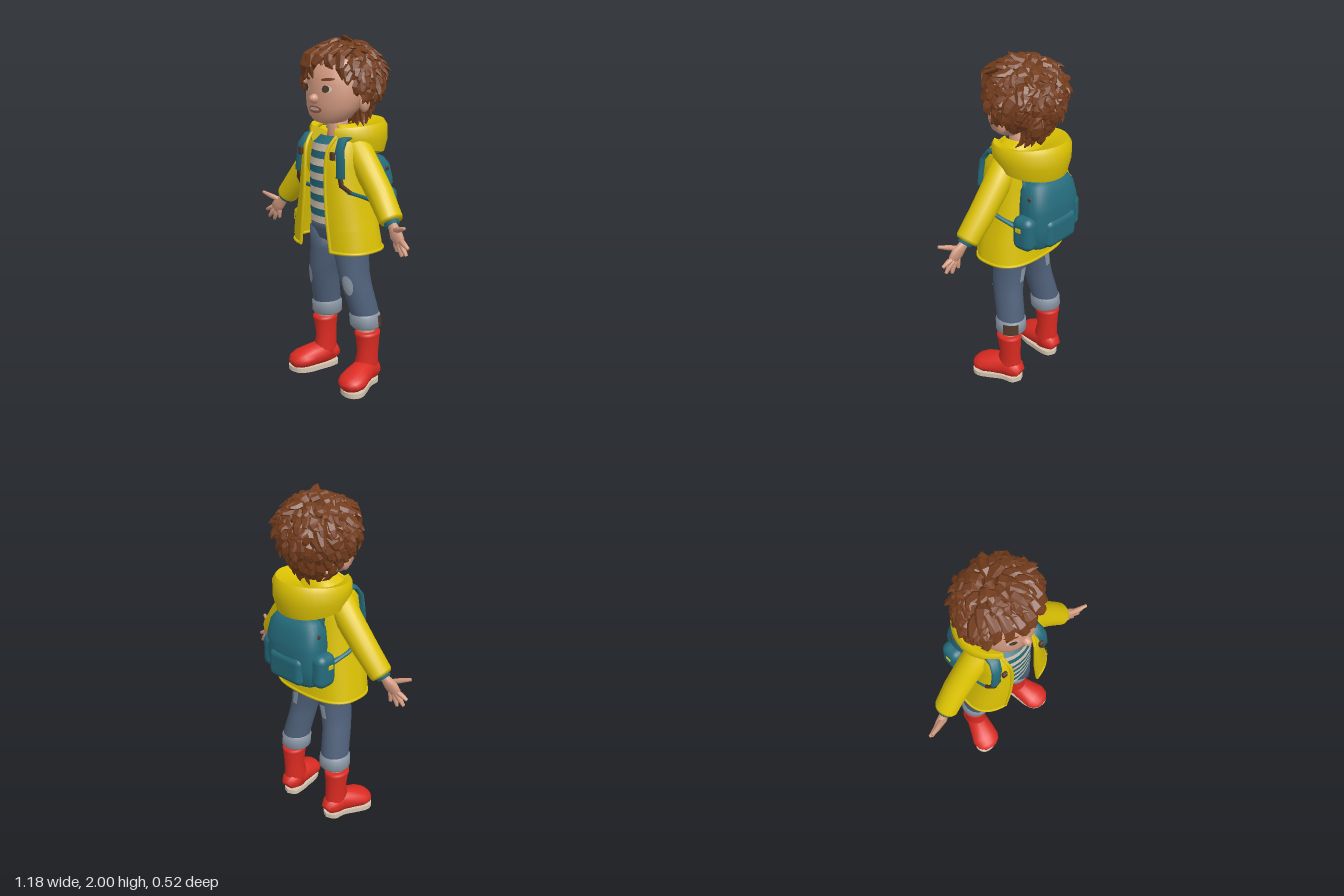
import * as THREE from 'three';
import { mergeGeometries, toCreasedNormals } from 'three/addons/utils/BufferGeometryUtils.js';
import { RoundedBoxGeometry } from 'three/addons/geometries/RoundedBoxGeometry.js';

const V = (x, y, z) => new THREE.Vector3(x, y, z), TAU = Math.PI * 2;
const paint = (name, color, side = THREE.FrontSide) => Object.assign(new THREE.MeshStandardMaterial({ color, side }), { name });

// Skin a list of equal-length rings; rings may be open strips.
function loft(rings, closed = true, caps = closed) {
  const n = rings[0].length, pts = rings.flat(), idx = [], last = rings.length - 1;
  for (let j = 0; j < last; j++) for (let i = 0; i < (closed ? n : n - 1); i++) {
    const a = j * n + i, b = j * n + (i + 1) % n;
    idx.push(a, b, b + n, a, b + n, a + n);
  }
  if (caps) for (const end of [0, last]) {
    const c = pts.length;
    pts.push(rings[end].reduce((s, p) => s.add(p), V(0, 0, 0)).divideScalar(n));
    for (let i = 0; i < n; i++) {
      const a = end * n + i, b = end * n + (i + 1) % n;
      idx.push(...(end ? [a, b, c] : [b, a, c]));
    }
  }
  const g = new THREE.BufferGeometry().setFromPoints(pts).setIndex(idx);
  g.computeVertexNormals();
  return g;
}
// Body tables hold rows of [y, half width, front z, back z, centre x].
function sample(t, y) {
  let i = 0;
  while (i < t.length - 2 && y > t[i + 1][0]) i++;
  const k = (y - t[i][0]) / (t[i + 1][0] - t[i][0]);
  return [0, 1, 2, 3, 4].map(c => THREE.MathUtils.lerp(t[i][c] ?? 0, t[i + 1][c] ?? 0, k));
}
const spow = (v, e) => Math.sign(v) * Math.abs(v) ** e;
function ring(t, y, { e = 1, a0 = 0, a1 = TAU, n = 24, off = 0 } = {}) {
  const [, rx, zf, zb, xc] = sample(t, y), steps = a1 - a0 > 6.28 ? n : n - 1;
  return Array.from({ length: n }, (_, i) => {
    const a = a0 + (a1 - a0) * i / steps;
    return V(xc + (rx + off) * spow(Math.sin(a), e), y, (zf + zb) / 2 + ((zf - zb) / 2 + off) * spow(Math.cos(a), e));
  });
}
const body = (t, o) => loft(t.map(r => ring(t, r[0], o)));
const patch = (t, ys, o) => loft(ys.map(y => ring(t, y, { n: 9, ...o })), false);
function frontZ(t, x, y, e = 1) {
  const [, rx, zf, zb, xc] = sample(t, y), u = Math.min(1, Math.abs((x - xc) / rx)) ** (2 / e);
  return (zf + zb) / 2 + (zf - zb) / 2 * (1 - u) ** (e / 2);
}
// Thin painted ellipse laid on the front of a body table.
function decal(t, cx, cy, w, h, off = 0.004, tilt = 0) {
  const g = new THREE.RingGeometry(0, 1, 20, 3).scale(w, h, 1).rotateZ(tilt).translate(cx, cy, 0), p = g.attributes.position;
  for (let i = 0; i < p.count; i++) p.setZ(i, frontZ(t, p.getX(i), p.getY(i)) + off);
  g.computeVertexNormals();
  return g;
}
// Tapered tube through [x, y, z, a, b]; b is measured along ref.
function limb(rows, ref = V(0, 0, 1), n = 12) {
  const c = rows.map(r => V(r[0], r[1], r[2]));
  return loft(rows.map(([, , , a, b], i) => {
    const T = c[Math.min(i + 1, c.length - 1)].clone().sub(c[Math.max(i - 1, 0)]).normalize();
    const B = ref.clone().addScaledVector(T, -ref.dot(T)).normalize(), A = B.clone().cross(T);
    return Array.from({ length: n }, (_, k) =>
      c[i].clone().addScaledVector(A, a * Math.cos(k / n * TAU)).addScaledVector(B, b * Math.sin(k / n * TAU)));
  }));
}
const flip = (rows, s) => rows.map(([x, ...r]) => [x * s, ...r]);
const flipBody = (t, s) => t.map(([y, w, f, b, x]) => [y, w, f, b, x * s]);

const HEAD = [[1.53, .05, .17, .07], [1.54, .09, .195, .03], [1.57, .13, .213, 0], [1.62, .162, .223, -.06], [1.68, .177, .224, -.1],
  [1.74, .176, .22, -.12], [1.8, .168, .212, -.13], [1.86, .145, .18, -.12], [1.91, .09, .11, -.08], [1.93, .02, .03, -.02]];
const JACKET = [[.835, .28, .235, -.125], [.98, .255, .237, -.11], [1.15, .215, .235, -.1], [1.3, .2, .23, -.09],
  [1.4, .19, .217, -.085], [1.46, .16, .18, -.07], [1.5, .12, .14, -.05], [1.52, .075, .125, -.02]];
const OPENING = [.125, .105, .088, .083, .088, .1, .09, .062];
const SHIRT = [[.93, .175, .19, -.08], [1.3, .165, .2, -.07], [1.42, .14, .185, -.05], [1.47, .085, .13, -.01]];
const PACK = [[.93, .11, -.09, -.18], [.945, .15, -.07, -.21], [.98, .178, -.055, -.238], [1.07, .188, -.047, -.25], [1.2, .183, -.042, -.246],
  [1.28, .168, -.042, -.228], [1.32, .14, -.055, -.2], [1.338, .09, -.08, -.165]];
const LEG = [[.37, .078, .07, -.09, .163], [.45, .08, .085, -.088, .16], [.6, .074, .13, -.06, .138], [.68, .08, .145, -.055, .122],
  [.8, .094, .15, -.06, .1], [.92, .1, .155, -.07, .095]];
const CUFF = [[.352, .082, .072, -.09, .165], [.365, .091, .082, -.1, .165], [.425, .088, .088, -.097, .162], [.442, .078, .08, -.085, .16]];
const SHAFT = [[.05, .062, .06, -.08, .178], [.12, .06, .075, -.08, .178], [.2, .058, .052, -.078, .18], [.3, .066, .066, -.083, .182],
  [.308, .07, .071, -.086, .182], [.324, .07, .071, -.086, .182], [.328, .058, .06, -.075, .182]];

// Curly hair: tousled tapered locks flowing away from the crown.
function hairLocks() {
  let seed = 23;
  const rnd = (a, b) => a + (b - a) * ((seed = (seed * 16807) % 2147483647) / 2147483647);
  const crown = V(0, .96, -.28), locks = [], count = 290;
  for (let i = 0; i < count; i++) {
    const y = 1 - 2 * (i + rnd(0, 1)) / count, q = i * 2.39996 + rnd(-.15, .15), r = Math.sqrt(1 - y * y);
    const n = V(r * Math.sin(q), y, r * Math.cos(q)), P = V(n.x * .2, 1.775 + n.y * .168, .01 + n.z * .182);
    if (P.y < 1.61 || (P.z > -.03 && P.y < 1.71)) continue;
    if (P.z > .06 && P.y < 1.88 && !(Math.abs(P.x) > .14 && P.z < .12 && P.y > 1.76)) continue;
    const t = n.clone().multiplyScalar(n.dot(crown)).sub(crown).normalize();
    const turn = rnd(-1.2, 1.2), side = n.clone().cross(t).normalize();
    t.addScaledVector(side, turn).normalize();
    if (P.z < 0 && P.y < 1.68) t.set(t.x * .4, -1, t.z * .4).normalize();
    const L = rnd(.08, .13), w = rnd(.024, .042), curl = rnd(0, .055);
    const at = (along, out, sw, a, b) => [...P.clone().addScaledVector(t, along * L).addScaledVector(n, out).addScaledVector(side, sw * turn), a, b];
    locks.push(limb([at(-.2, -.015, 0, w * .6, .012), at(.15, .02, 0, w, .02), at(.5, .026, -.015, w * .9, .017),
      at(.8, .018 + curl * .5, -.045, w * .5, .01), at(1, curl, -.08, .003, .002)], n, 6));
  }
  // Fringe locks swept over the forehead
  for (const [x, d, tip] of [[-.13, -.03, 1.76], [-.085, -.03, 1.79], [-.035, .03, 1.775], [.03, -.03, 1.82], [.08, .05, 1.83], [.13, .03, 1.77]]) {
    const z = .225 - x * x * 4;
    locks.push(limb([[x, 1.93, z - .08, .02, .015], [x, 1.89, z, .038, .02], [x + d * .5, (1.89 + tip) / 2, z + .018, .028, .016], [x + d, tip, z + .01, .004, .003]], V(0, .3, 1), 6));
  }
  const g = mergeGeometries(locks).toNonIndexed();
  g.computeVertexNormals();
  return g;
}

export function createModel() {
  const model = new THREE.Group();
  const M = {
    skin: paint('skin', 0xd39a80), hair: paint('hair brown', 0x743d1d), yellow: paint('raincoat yellow', 0xdcc203, THREE.DoubleSide),
    teal: paint('teal', 0x256b7b), denim: paint('denim', 0x50617a), faded: paint('faded denim', 0x8b97a6), red: paint('boot red', 0xdb2b22),
    cream: paint('cream', 0xd5c5b0), dark: paint('dark leather', 0x523729), lip: paint('lip', 0xa45c4c)
  };
  const add = (name, geo, mat, x = 0, y = 0, z = 0) => {
    const m = new THREE.Mesh(geo, mat);
    m.name = name;
    m.position.set(x, y, z);
    model.add(m);
  };
  const ball = (rx, ry, rz) => new THREE.SphereGeometry(1, 18, 12).scale(rx, ry, rz);
  const box = (w, h, d, r) => new RoundedBoxGeometry(w, h, d, 4, r);
  const tube = (pts, n, r) => new THREE.TubeGeometry(new THREE.CatmullRomCurve3(pts), n, r, 6);

  // Head and face
  add('head', body(HEAD), M.skin);
  add('neck', body([[1.4, .075, .13, -.02], [1.47, .058, .11, 0], [1.58, .06, .12, 0]]), M.skin);
  add('nose', ball(.026, .027, .038), M.skin, 0, 1.667, .22);
  add('lips', decal(HEAD, 0, 1.61, .05, .02), M.lip);
  add('teeth', decal(HEAD, 0, 1.613, .038, .009, .007), M.cream);
  add('hairCap', ball(.19, .165, .175), M.hair, 0, 1.772, .005);
  add('hairLocks', hairLocks(), M.hair);

  // Striped shirt and hips
  for (let i = 0, h = .49 / 12; i < 12; i++)
    add('shirtStripe', loft([0, 1].map(k => ring(SHIRT, .97 + (i + k) * h)), true, false), i % 2 ? M.teal : M.cream);
  add('hips', body([[.845, .07, .11, -.04], [.87, .188, .15, -.075], [.93, .194, .172, -.085], [.985, .172, .186, -.08]]), M.denim);

  // Open raincoat
  const E = .75, edgeAngle = i => Math.asin((OPENING[i] / JACKET[i][1]) ** (1 / E));
  const coat = JACKET.map((r, i) => ring(JACKET, r[0], { e: E, a0: edgeAngle(i), a1: TAU - edgeAngle(i), n: 37 }));
  add('coatBody', loft(coat, false), M.yellow);
  add('coatHem', tube(coat[0], 60, .009), M.yellow);

  // Hood folded down around the collar
  const profile = [[.3, -1], [.8, -.85], [1, -.1], [1, .7], [.8, 1], [-.2, .65], [-1, .2], [-1, -.4], [-.4, -.95]];
  const hood = Array.from({ length: 29 }, (_, i) => {
    const q = -2.62 + 5.24 * i / 28, w = (1 + Math.cos(q)) / 2, a = .042 + .058 * w;
    return profile.map(([r, v]) => V(Math.sin(q) * (.147 + r * a), 1.462 - .027 * w + v * (.045 + .06 * w), -Math.cos(q) * (.147 + r * a)));
  });
  add('hood', toCreasedNormals(loft(hood), .9), M.yellow);

  // Backpack
  add('backpackBody', body(PACK, { e: .7, n: 32 }), M.teal);
  add('backpackFlap', patch(PACK, [1.17, 1.2, 1.28, 1.32, 1.338], { e: .7, a0: 1.7, a1: TAU - 1.7, n: 21, off: .008 }), M.teal);
  add('backpackPocket', box(.25, .17, .08, .038), M.teal, 0, 1.045, -.22);

  // Leather patch on the left trouser cuff
  add('cuffPatch', patch(CUFF, [.362, .428], { a0: 1.75, a1: 2.75, off: .004 }), M.dark);

  for (const s of [1, -1]) {
    // Face details
    add('ear', ball(.025, .05, .035), M.skin, s * .185, 1.645, .03);
    add('eyeWhite', decal(HEAD, s * .076, 1.722, .03, .019), M.cream);
    add('iris', decal(HEAD, s * .074, 1.722, .02, .019, .007), M.dark);
    add('eyebrow', decal(HEAD, s * .078, 1.772, .036, .008, .005, s * .08), M.hair);

    // Sleeve, shirt cuff and hand
    const arm = (rows, n) => limb(flip(rows, s), V(0, 0, 1), n);
    add('sleeve', arm([[.1, 1.44, .045, .04, .06], [.14, 1.4, .043, .075, .08], [.22, 1.3, .043, .077, .076], [.33, 1.17, .05, .072, .073],
      [.425, 1.053, .067, .062, .07], [.435, 1.04, .069, .055, .062]], 18), M.yellow);
    add('shirtCuff', arm([[.41, 1.07, .068, .045, .045], [.448, 1.025, .075, .042, .042]]), M.teal);
    add('palm', arm([[.42, 1.055, .075, .028, .026], [.455, 1.018, .08, .03, .024], [.485, .985, .09, .044, .024], [.52, .95, .095, .036, .018]]), M.skin);
    for (const [x, y, x1, y1, z1] of [[.475, 1.005, .585, 1.045, .135], [.515, .965, .588, .93, .105], [.52, .95, .572, .888, .1], [.505, .945, .533, .875, .092], [.485, .96, .49, .892, .085]])
      add('finger', arm([[x, y, .09, .015, .015], [(x + x1) / 2, (y + y1) / 2, (.095 + z1) / 2, .015, .015], [x1, y1, z1, .009, .009]], 8), M.skin);

    // Coat edge and pocket
    add('coatEdge', tube(coat.map(r => r.at(s > 0 ? 0 : -1)), 24, .01), M.yellow);
    const span = s > 0 ? { e: E, a0: .62, a1: 1.25 } : { e: E, a0: TAU - 1.25, a1: TAU - .62 };
    add('coatPocket', patch(JACKET, [.87, 1.0], { ...span, off: .006 }), M.yellow);
    add('pocketFlap', patch(JACKET, [.965, 1.01], { ...span, off: .013 }), M.yellow);

    // Shoulder straps and backpack side pockets
    const on = (x, y) => [x, y, frontZ(JACKET, x, y, E) + .008];
    const strap = (rows, a, b) => limb(flip(rows.map(r => [...r, a, b]), s), V(1, 0, 0), 8);
    add('strap', strap([[.12, 1.28, -.1], [.125, 1.41, -.085], [.13, 1.48, .02], on(.14, 1.45), on(.154, 1.4), on(.163, 1.33), on(.168, 1.25)], .014, .036), M.teal);
    add('strapWebbing', strap([on(.165, 1.27), on(.175, 1.21), [.2, 1.17, .15]], .012, .017), M.dark);
    add('lowerStrap', strap([[.195, 1.175, .16], [.222, 1.12, .03], [.19, 1.07, -.1]], .012, .017), M.teal);
    add('strapBuckle', box(.03, .045, .02, .006), M.dark, s * .13, 1.37, frontZ(JACKET, .13, 1.37, E) + .018);
    add('backpackSidePocket', box(.1, .2, .13, .045), M.teal, s * .19, 1.06, -.14);
    add('pocketTab', box(.008, .025, .035, .003), M.yellow, s * .241, 1.09, -.13);
    add('flapTab', box(.012, .02, .02, .004), M.dark, s * .178, 1.26, -.16);

    // Jeans, turned-up cuffs and worn patches
    const leg = flipBody(LEG, s);
    add('trouserLeg', body(leg), M.denim);
    add('trouserCuff', toCreasedNormals(body(flipBody(CUFF, s)), .8), M.faded);
    add('kneePatch', decal(leg, s * .158, .625, .028, .06, .005, s * .1), M.faded);
    add('backPatch', patch(leg, [.68, .72, .765], { a0: Math.PI - .2, a1: Math.PI + .2, off: .004 }), M.faded);

    // Boots
    add('ankle', body(flipBody([[.3, .052, .045, -.06, .175], [.38, .05, .045, -.06, .168]], s)), M.skin);
    add('bootShaft', body(flipBody(SHAFT, s)), M.red);
    add('bootFoot', limb(flip([[.172, .06, -.086, .04, .03], [.175, .078, -.055, .06, .058], [.182, .09, .01, .065, .074], [.203, .08, .09, .078, .064],
      [.222, .07, .15, .088, .054], [.229, .06, .19, .074, .042], [.233, .05, .215, .04, .026]], s), V(0, 1, 0), 18), M.red);
    const outline = [[.17, -.086], [.222, -.06], [.235, .01], [.272, .08], [.303, .15], [.286, .2], [.237, .218], [.175, .2], [.143, .14], [.131, .07], [.12, 0], [.125, -.06]];
    const curve = new THREE.SplineCurve([...outline, outline[0]].map(([x, z]) => new THREE.Vector2(x * s, -z)));
    add('bootSole', new THREE.ExtrudeGeometry(new THREE.Shape(curve.getPoints(36)), { depth: .028, bevelEnabled: false }).rotateX(-Math.PI / 2), M.cream);
  }
  return model;
}
